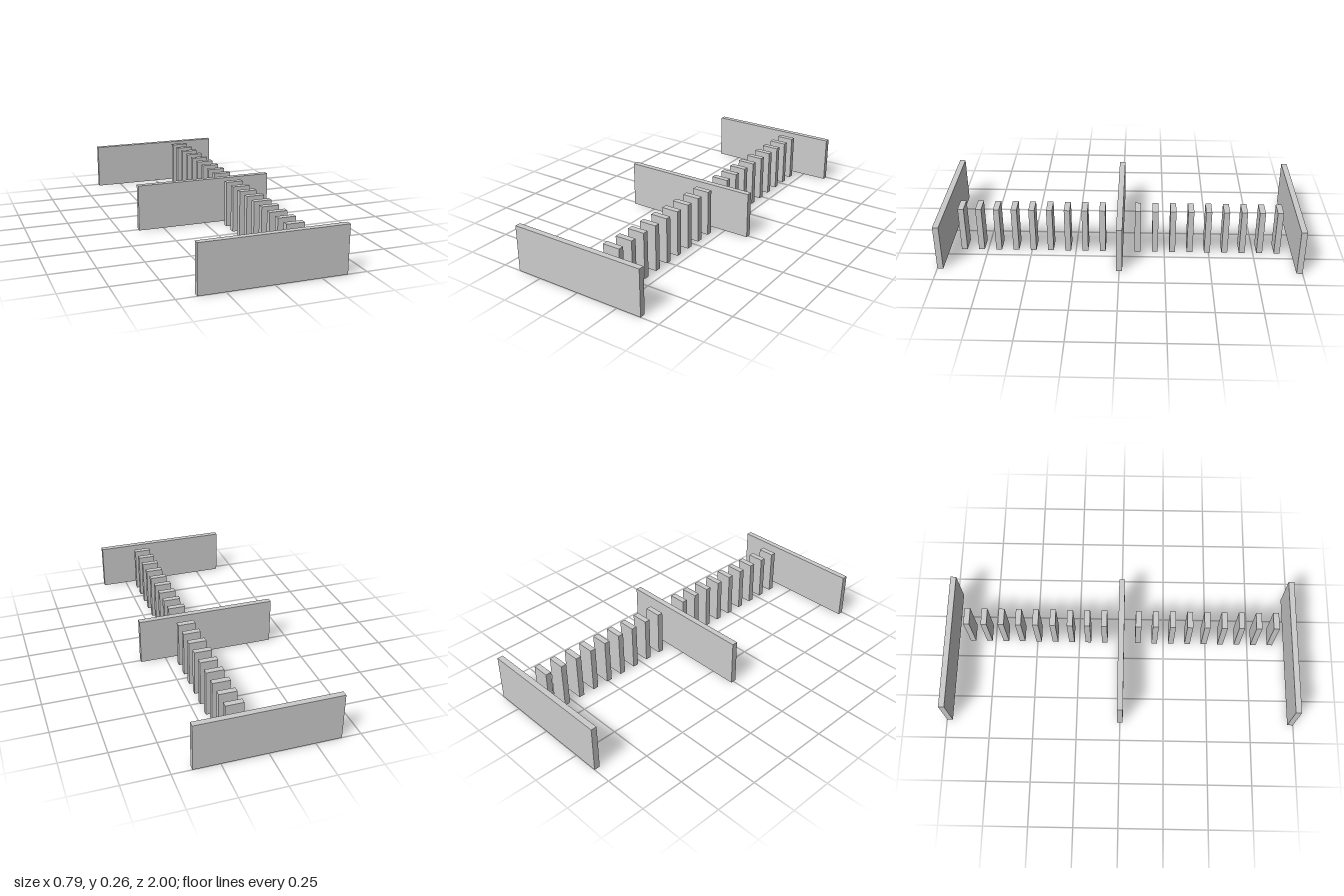
import * as THREE from 'three';

export function createModel() {
  const model = new THREE.Group();
  const material = new THREE.MeshStandardMaterial({ color: 0xcccccc, flatShading: true });

  // Everything is a multiple of the panel thickness
  const t = 2 / 61;
  const pitch = 3 * t;
  const height = 8 * t;
  const wallGeometry = new THREE.BoxGeometry(24 * t, height, t);
  const slatGeometry = new THREE.BoxGeometry(3 * t, height, t);

  // Wide walls at both ends and the middle, nine offset slats in each bay
  for (let i = -10; i <= 10; i++) {
    const isWall = i % 10 === 0;
    const panel = new THREE.Mesh(isWall ? wallGeometry : slatGeometry, material);
    panel.name = isWall ? 'wall' : 'slat';
    panel.position.set(isWall ? 0 : 4.5 * t, height / 2, i * pitch);
    model.add(panel);
  }
  return model;
}
